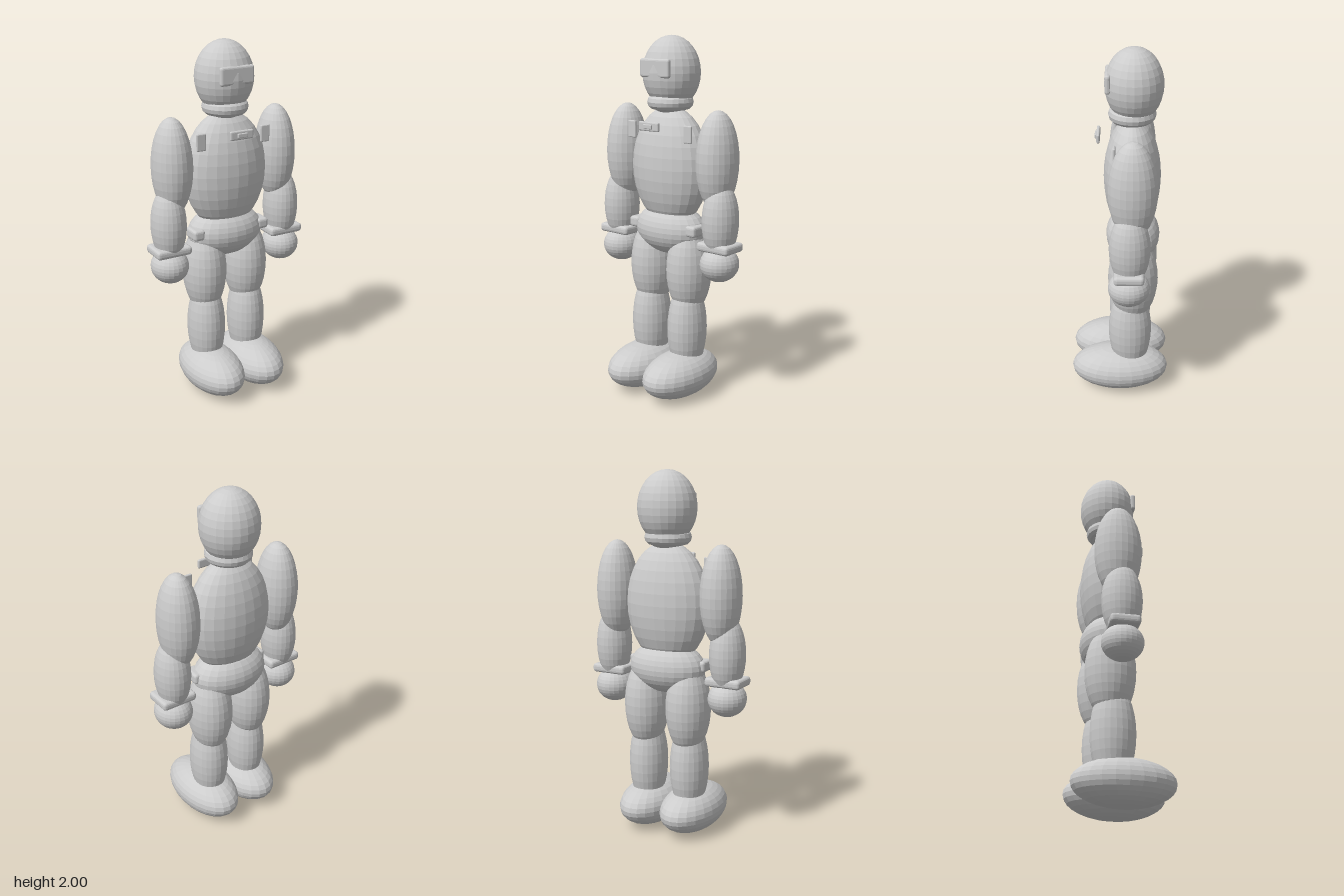
import * as THREE from 'three';
import { RoundedBoxGeometry } from 'three/addons/geometries/RoundedBoxGeometry.js';

export function createModel() {
  const model = new THREE.Group();
  model.name = 'armouredFigure';
  const grey = new THREE.MeshStandardMaterial({ color: 0xcccccc, flatShading: true });
  grey.name = 'plainGrey';

  const add = (name, geometry, x, y, z) => {
    const mesh = new THREE.Mesh(geometry, grey);
    mesh.name = name;
    mesh.position.set(x, y, z);
    model.add(mesh);
  };
  // Ellipsoid from centre and radii
  const ball = (name, [x, y, z], [rx, ry, rz]) =>
    add(name, new THREE.SphereGeometry(1, 24, 16).scale(rx, ry, rz), x, y, z);
  // Softened box from centre and full size
  const box = (name, [x, y, z], [w, h, d], r) =>
    add(name, new RoundedBoxGeometry(w, h, d, 2, r), x, y, z);

  // Head and trunk
  ball('head', [0, 1.803, -0.072], [0.162, 0.197, 0.155]);
  ball('neck', [0, 1.645, -0.065], [0.112, 0.064, 0.117]);
  add('collar', new THREE.TorusGeometry(0.085, 0.042, 12, 24).rotateX(Math.PI / 2), 0, 1.645, -0.063);
  ball('torso', [0, 1.29, -0.065], [0.243, 0.333, 0.154]);
  ball('pelvis', [0, 0.94, -0.07], [0.222, 0.142, 0.148]);

  // Visor and chest badge
  box('visor', [0, 1.83, 0.064], [0.2, 0.1, 0.03], 0.013);
  box('chestPlate', [0, 1.526, 0.1155], [0.138, 0.05, 0.018], 0.008);
  box('chestPlateInset', [0, 1.526, 0.128], [0.06, 0.024, 0.012], 0.004);

  // Mirrored limbs and fittings
  for (const [side, s] of [['left', 1], ['right', -1]]) {
    ball(side + 'UpperArm', [s * 0.32, 1.35, -0.067], [0.109, 0.27, 0.129]);
    ball(side + 'Forearm', [s * 0.355, 1.035, -0.053], [0.096, 0.213, 0.109]);
    ball(side + 'Hand', [s * 0.355, 0.797, -0.05], [0.104, 0.097, 0.112]);
    box(side + 'Cuff', [s * 0.355, 0.893, -0.05], [0.206, 0.05, 0.16], 0.018);

    ball(side + 'Thigh', [s * 0.13, 0.725, -0.072], [0.121, 0.26, 0.138]);
    ball(side + 'Shin', [s * 0.13, 0.385, -0.057], [0.105, 0.277, 0.121]);
    ball(side + 'Foot', [s * 0.13, 0.13, 0], [0.16, 0.128, 0.275]);

    box(side + 'ShoulderTab', [s * 0.195, 1.49, 0.03], [0.054, 0.094, 0.015], 0.006);
    box(side + 'BeltPouch', [s * 0.2, 0.96, -0.035], [0.068, 0.06, 0.11], 0.016);
  }
  return model;
}
